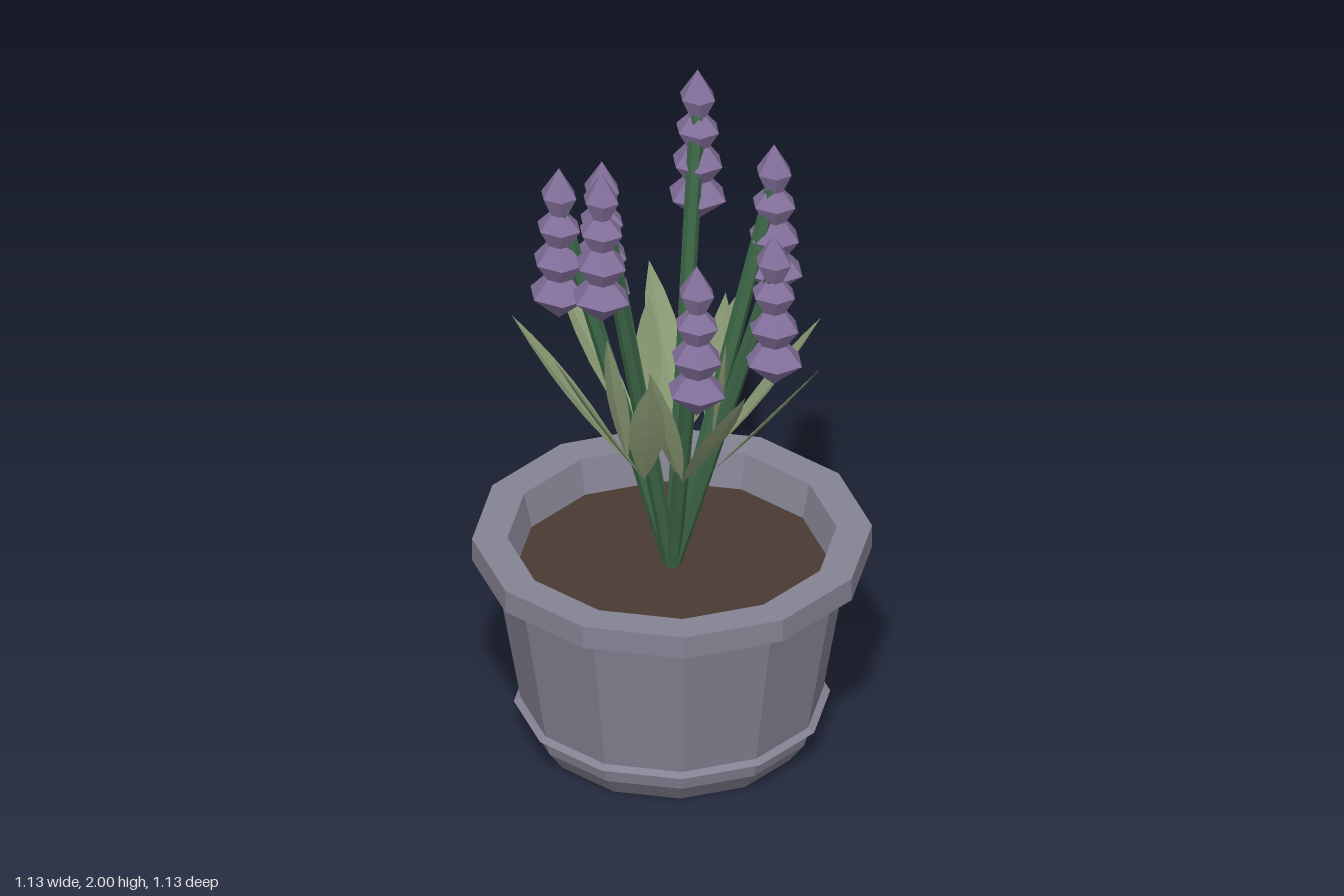
import * as THREE from 'three';

const mat = (color, side = THREE.FrontSide) =>
  new THREE.MeshStandardMaterial({ color, flatShading: true, side });
const potMat = mat(0x858393);
const soilMat = mat(0x4a3a32);
const stemMat = mat(0x3c6646);
const leafMat = mat(0x8a9a74, THREE.DoubleSide);
const flowerMat = mat(0x84709c);

function lathe(name, profile, sides, material, start = 0) {
  const pts = profile.map(([r, y]) => new THREE.Vector2(r, y));
  const mesh = new THREE.Mesh(new THREE.LatheGeometry(pts, sides, start), material);
  mesh.name = name;
  return mesh;
}

// Straight rod between two points
function rod(name, a, b, radius) {
  const dir = b.clone().sub(a);
  const mesh = new THREE.Mesh(new THREE.CylinderGeometry(radius, radius, dir.length(), 6), stemMat);
  mesh.position.copy(a).add(b).multiplyScalar(0.5);
  mesh.quaternion.setFromUnitVectors(new THREE.Vector3(0, 1, 0), dir.normalize());
  mesh.name = name;
  return mesh;
}

// Pointed blade with a slight fold along its midrib
function leaf(name, base, tip) {
  const dir = tip.clone().sub(base);
  const half = 0.034 + 0.1 * Math.abs(dir.z);
  const across = new THREE.Vector3(dir.z, 0, -dir.x).normalize();
  const normal = across.clone().cross(dir).normalize();
  const rows = 6, pos = [], index = [];
  for (let i = 0; i <= rows; i++) {
    const t = i / rows;
    const w = half * Math.pow(Math.sin(Math.PI * t), 0.9);
    for (let s = -1; s <= 1; s++) {
      const p = base.clone().addScaledVector(dir, t).addScaledVector(across, s * w);
      p.addScaledVector(normal, s === 0 ? w * 0.22 : 0);
      pos.push(p.x, p.y, p.z);
    }
  }
  for (let i = 0; i < rows; i++) {
    for (let s = 0; s < 2; s++) {
      const a = i * 3 + s;
      index.push(a, a + 1, a + 4, a, a + 4, a + 3);
    }
  }
  const geo = new THREE.BufferGeometry();
  geo.setAttribute('position', new THREE.Float32BufferAttribute(pos, 3));
  geo.setIndex(index);
  geo.computeVertexNormals();
  const mesh = new THREE.Mesh(geo, leafMat);
  mesh.name = name;
  return mesh;
}

export function createModel() {
  const model = new THREE.Group();
  model.name = 'pottedFlowers';

  // Twelve-sided pot with foot, bead, rim and inner wall
  model.add(lathe('pot', [
    [0, 0], [0.37, 0], [0.415, 0.06], [0.425, 0.1], [0.447, 0.112], [0.428, 0.124],
    [0.5, 0.555], [0.565, 0.585], [0.565, 0.655], [0.465, 0.655], [0.44, 0.54],
  ], 12, potMat));

  // Soil
  model.add(lathe('soil', [[0.443, 0.55], [0, 0.55]], 12, soilMat));

  // Flower spike profile, measured down from the tip
  const spike = [
    [0, -0.495], [0.089, -0.415], [0.04, -0.36], [0.078, -0.305], [0.035, -0.25],
    [0.067, -0.195], [0.027, -0.15], [0.055, -0.09], [0, 0],
  ];
  const tops = [1.73, 1.73, 2.0, 1.86, 1.73, 2.0, 1.86];

  // Seven stems fanned around the centre, each with a spike and two leaves
  tops.forEach((top, i) => {
    const az = (i * 2 * Math.PI) / 7;
    const x = 0.32 * Math.cos(az), z = 0.315 * Math.sin(az);
    const plant = new THREE.Group();
    plant.name = 'flower' + (i + 1);

    plant.add(rod('stem', new THREE.Vector3(0, 0.54, 0), new THREE.Vector3(x, top - 0.13, z), 0.023));

    const head = lathe('flowerSpike', spike, 6, flowerMat, Math.PI / 2);
    head.position.set(x, top, z);
    head.scale.z = 0.87;
    plant.add(head);

    const base = new THREE.Vector3(x * 0.39, 0.89, z * 0.39);
    for (const s of [-1, 1]) {
      plant.add(leaf(s > 0 ? 'leftLeaf' : 'rightLeaf', base, new THREE.Vector3(x + s * 0.15, 1.33, z * 0.98)));
    }
    model.add(plant);
  });

  return model;
}
